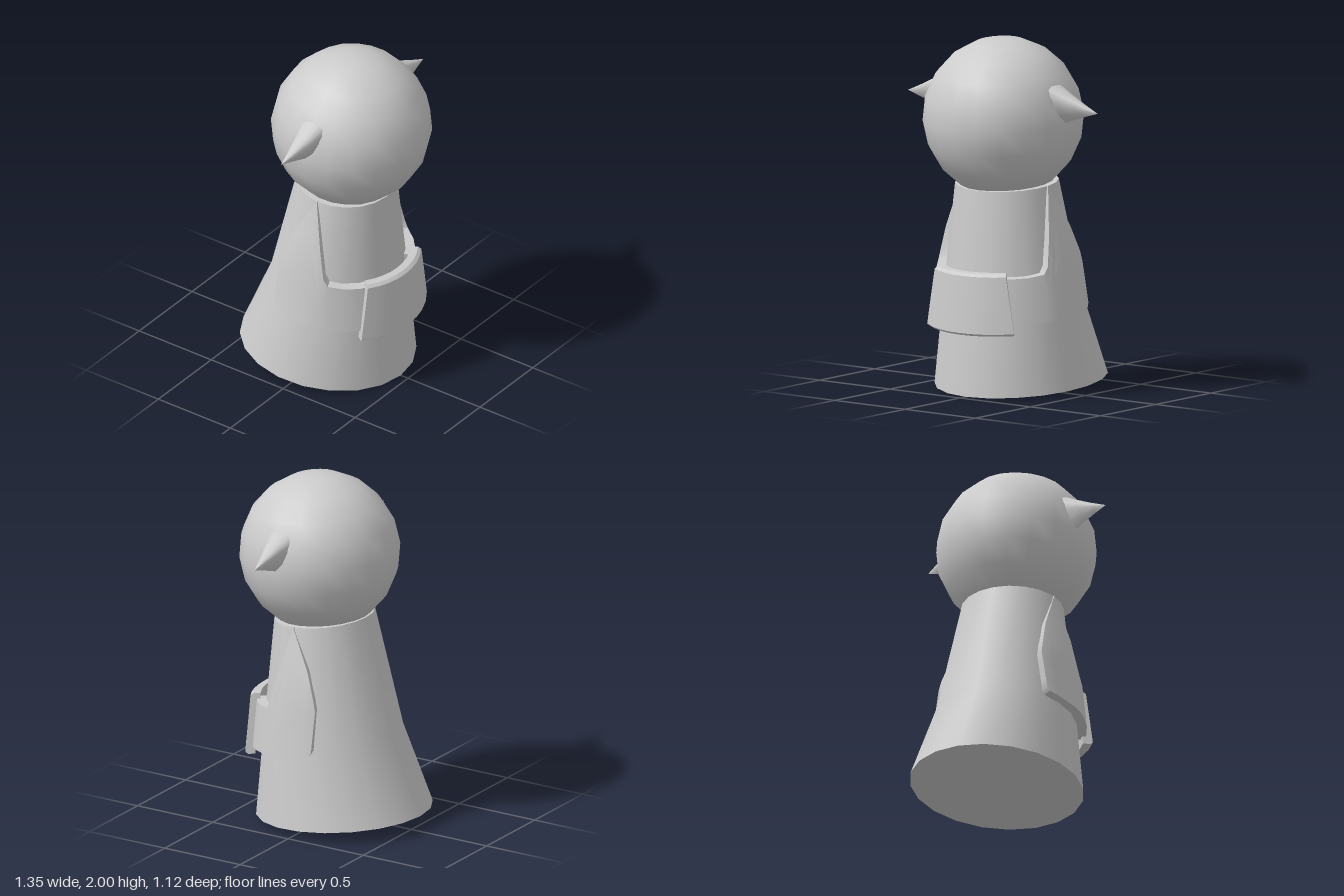
import * as THREE from 'three';
import { toCreasedNormals } from 'three/addons/utils/BufferGeometryUtils.js';

const material = new THREE.MeshStandardMaterial({ color: 0xcccccc });
const { lerp, clamp } = THREE.MathUtils;
const TILT = 0.09; // the robe's rings lean, rising towards the back

// Robe rings: level, centre z, half width, half depth
const RINGS = [
  [0.04, -0.055, 0.475, 0.505],
  [0.497, 0.02, 0.4, 0.39],
  [1.187, 0.075, 0.3, 0.275],
];

function ringAt(h) {
  const i = h < RINGS[1][0] ? 0 : 1;
  const t = (h - RINGS[i][0]) / (RINGS[i + 1][0] - RINGS[i][0]);
  return RINGS[i].map((v, k) => lerp(v, RINGS[i + 1][k], t));
}

// Point on the robe at a level and angle from the front, pushed out by d
function robePoint(h, angle, d) {
  const [, cz, rx, rz] = ringAt(h);
  const z = cz + (rz + d) * Math.cos(angle);
  return new THREE.Vector3((rx + d) * Math.sin(angle), h - TILT * z, z);
}

// Moves every vertex of a geometry by a rule, then renews its normals
function reshape(geometry, rule, crease = 0.6) {
  const pos = geometry.attributes.position;
  const uv = geometry.attributes.uv;
  for (let i = 0; i < pos.count; i++) {
    const p = rule(new THREE.Vector3().fromBufferAttribute(pos, i), uv.getX(i), uv.getY(i));
    pos.setXYZ(i, p.x, p.y, p.z);
  }
  return toCreasedNormals(geometry, crease);
}

// Mirror image across x, with the corner order turned back
function mirrored(geometry) {
  const g = geometry.clone().scale(-1, 1, 1);
  for (const name of ['position', 'normal']) {
    const a = g.attributes[name].array;
    for (let i = 0; i < a.length; i += 9) {
      for (let k = 0; k < 3; k++) [a[i + k], a[i + 6 + k]] = [a[i + 6 + k], a[i + k]];
    }
  }
  return g;
}

function robeGeometry() {
  return reshape(new THREE.CylinderGeometry(1, 1, 1, 20, 2), (p) => {
    const [h, cz, rx, rz] = RINGS[Math.round((p.y + 0.5) * 2)];
    const z = cz + rz * p.z;
    return new THREE.Vector3(rx * p.x, h - TILT * z, z);
  });
}

// Sleeve: a thin panel on the robe, from under the muff to a pointed shoulder
function sleeveGeometry() {
  const columns = [ // z, bottom, top
    [0.4, 0.41, 0.68], [0.36, 0.415, 0.68], [0.3, 0.425, 0.685], [0.22, 0.435, 0.7],
    [0.195, 0.44, 0.74], [0.16, 0.445, 0.9], [0.09, 0.45, 1.18],
    [-0.04, 0.47, 0.95], [-0.095, 0.485, 0.8], [-0.11, 0.51, 0.74],
  ];
  const n = columns.length - 1;
  return reshape(new THREE.BoxGeometry(1, 1, 1, n, 4, 1), (p) => {
    const [z, bottom, top] = columns[Math.round((p.x + 0.5) * n)];
    const y = lerp(bottom, top, p.y + 0.5);
    const h = y + TILT * z;
    const d = 0.055 * Math.min(1, (1.22 - y) / 0.4);
    const [, cz, , rz] = ringAt(h);
    const angle = Math.acos(clamp((z - cz) / (rz + d), -1, 1));
    return robePoint(h, angle, p.z > 0 ? d : -0.015);
  });
}

// Muff: a curved block across the front, wider at the bottom, edges bevelled
function muffGeometry() {
  const rows = [0, 0.04, 0.5, 0.96, 1];
  return reshape(new THREE.BoxGeometry(1, 1, 1, 8, 4, 1), (p) => {
    const v = rows[Math.round((p.y + 0.5) * 4)];
    const h = lerp(0.36, 0.705, v) + TILT * 0.46;
    const x = 2 * p.x * lerp(0.31, 0.25, v);
    const outer = v === 0 || v === 1 ? 0.075 : 0.092;
    const angle = Math.asin(x / (ringAt(h)[2] + 0.09));
    return robePoint(h, angle, p.z > 0 ? outer : 0.035);
  });
}

const HEAD = new THREE.Vector3(0, 1.548, 0.108);
const HEAD_RADIUS = 0.453;

// Ear: a teardrop base lying on the head, tapering to a point
function earGeometry() {
  const outline = new THREE.CatmullRomCurve3(
    [[0.13, 1.775], [0.195, 1.75], [0.195, 1.67], [0.115, 1.55], [0.05, 1.67], [0.055, 1.75]]
      .map(([z, y]) => new THREE.Vector3(0, y, z)), true);
  const tip = new THREE.Vector3(0.675, 1.63, 0.112);
  return reshape(new THREE.ConeGeometry(1, 1, 12, 3, true), (p, u, v) => {
    if (v > 0.99) return tip.clone();
    const q = outline.getPoint(u % 1);
    q.x = Math.sqrt(HEAD_RADIUS ** 2 - (q.y - HEAD.y) ** 2 - (q.z - HEAD.z) ** 2) - 0.02;
    const narrow = v + 0.12 * v * (1 - v);
    return new THREE.Vector3(
      lerp(q.x, tip.x, v), lerp(q.y, tip.y, narrow), lerp(q.z, tip.z, narrow));
  }, 1.2);
}

export function createModel() {
  const model = new THREE.Group();
  model.name = 'robedFigure';
  const add = (name, geometry) => {
    const mesh = new THREE.Mesh(geometry, material);
    mesh.name = name;
    model.add(mesh);
    return mesh;
  };

  add('robe', robeGeometry());
  add('muff', muffGeometry());

  const head = add('head', new THREE.SphereGeometry(HEAD_RADIUS, 20, 10));
  head.position.copy(HEAD);
  head.rotation.x = 0.09;

  // Paired parts
  const sleeve = sleeveGeometry();
  add('leftSleeve', sleeve);
  add('rightSleeve', mirrored(sleeve));
  const ear = earGeometry();
  add('leftEar', ear);
  add('rightEar', mirrored(ear));
  return model;
}
